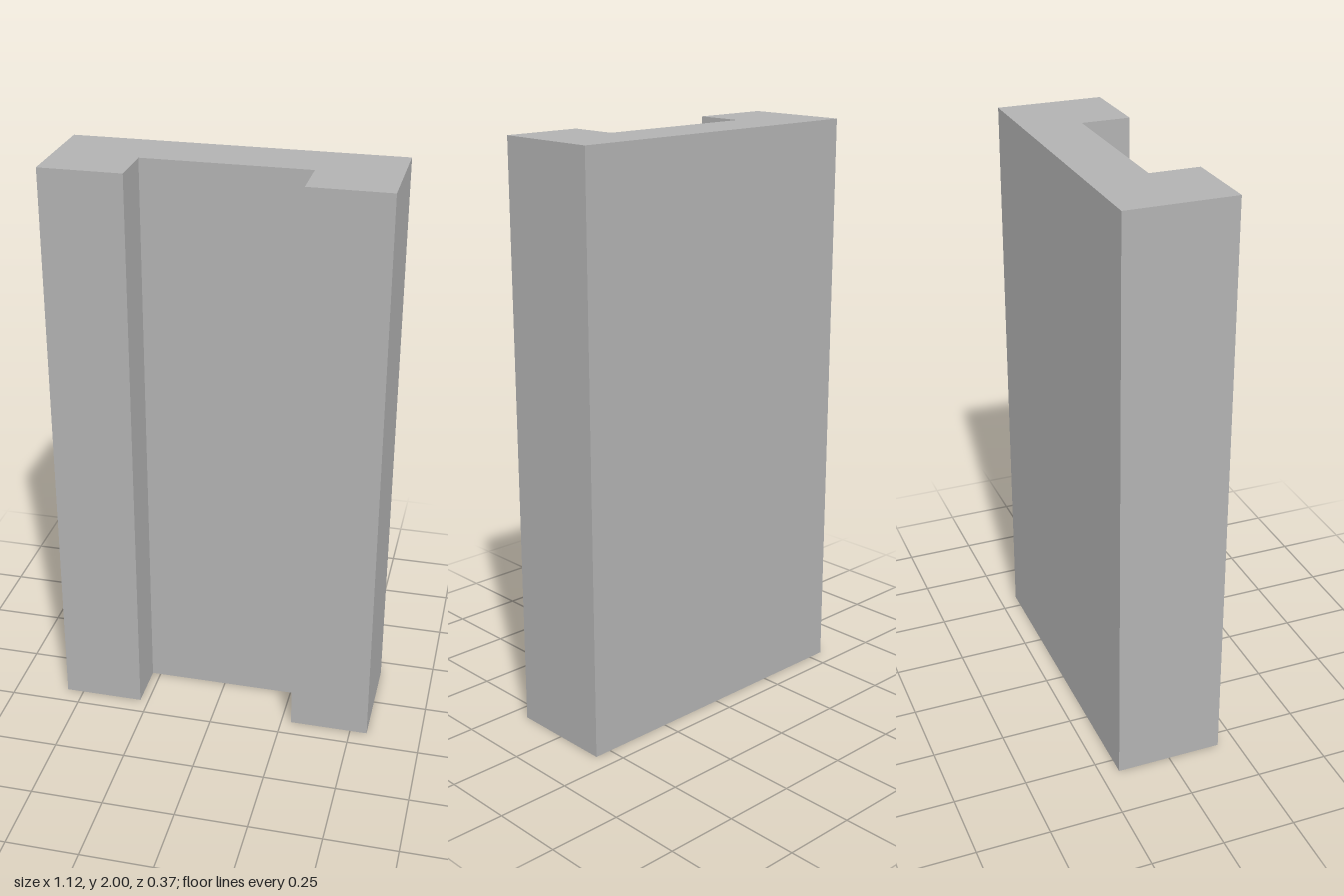
import * as THREE from 'three';

export function createModel() {
  const group = new THREE.Group();
  group.name = 'channelPanel';
  const grey = new THREE.MeshStandardMaterial({ color: 0xb2b2b2 });
  grey.name = 'light grey';

  // U-shaped plan as [x, z], with the recess open to the front
  const plan = [
    [-0.56, 0.185], [-0.28, 0.185], [-0.28, 0.015], [0.285, 0.015],
    [0.285, 0.185], [0.56, 0.185], [0.56, -0.185], [-0.56, -0.185],
  ];
  const shape = new THREE.Shape(plan.map(([x, z]) => new THREE.Vector2(x, -z)));

  // Extrude the plan, then stand it upright
  const geometry = new THREE.ExtrudeGeometry(shape, { depth: 2, bevelEnabled: false });
  geometry.rotateX(-Math.PI / 2);

  const panel = new THREE.Mesh(geometry, grey);
  panel.name = 'panel';
  group.add(panel);
  return group;
}
